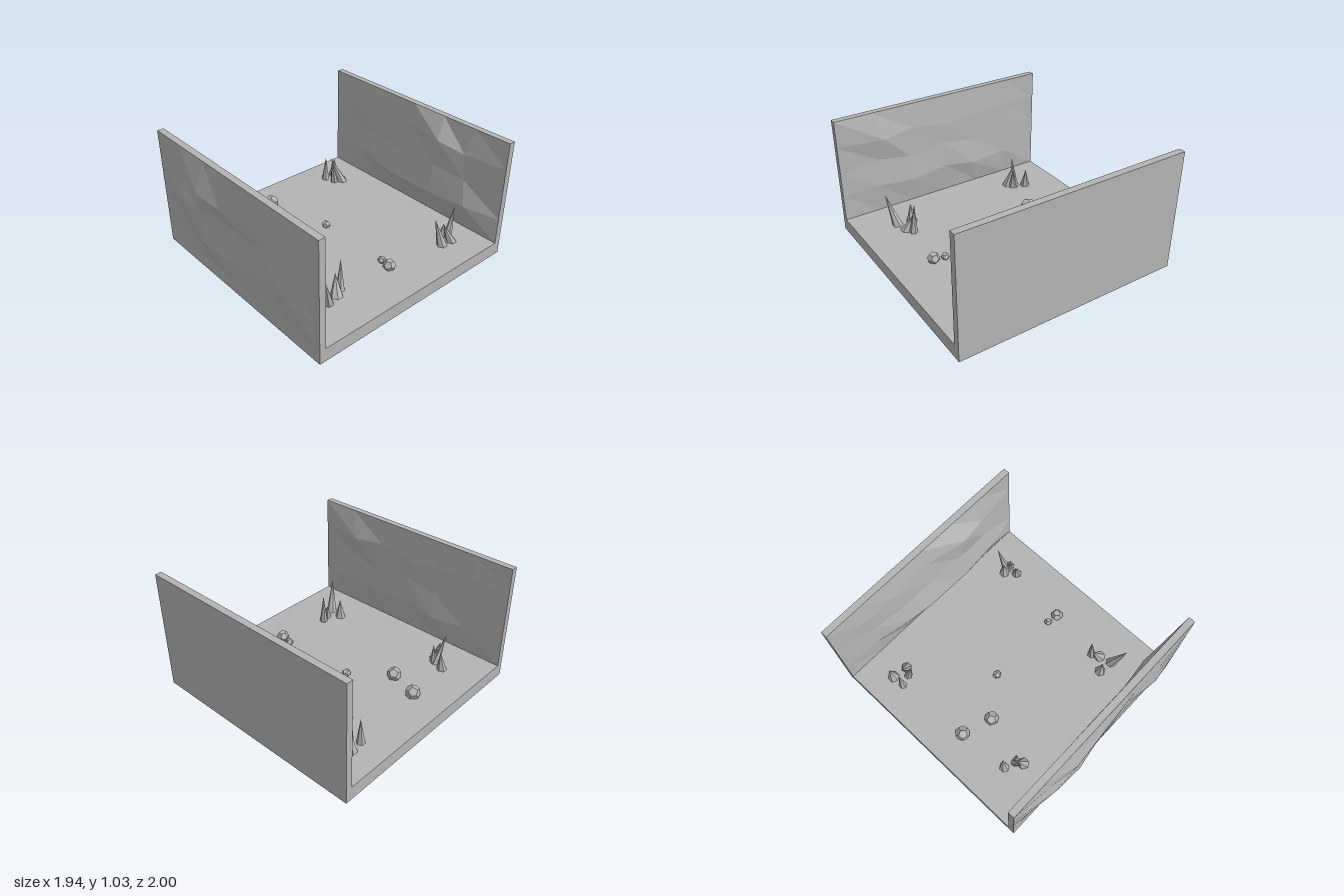
import * as THREE from 'three';

const stone = new THREE.MeshStandardMaterial({ color: 0xb4b4b4, flatShading: true });
stone.name = 'grey stone';

const HALF = 0.97, FLOOR = 0.115, TOP = 1.03;
const COLS = 6, ROWS = 4;

function add(parent, name, geometry, x = 0, y = 0, z = 0) {
  const mesh = new THREE.Mesh(geometry, stone);
  mesh.name = name;
  mesh.position.set(x, y, z);
  parent.add(mesh);
  return mesh;
}

function slab(parent, name, y0, y1, z0, z1) {
  add(parent, name, new THREE.BoxGeometry(2 * HALF, y1 - y0, z1 - z0), 0, (y0 + y1) / 2, (z0 + z1) / 2);
}

// Faceted rock face towards +z: the border is pinned flat, each inner point is [x, y, depth]
function rockFace(inner) {
  const points = [], index = [];
  for (let r = 0; r <= ROWS; r++) {
    for (let c = 0; c <= COLS; c++) {
      const border = r === 0 || r === ROWS || c === 0 || c === COLS;
      if (border) points.push(-HALF + (2 * HALF * c) / COLS, TOP - ((TOP - FLOOR) * r) / ROWS, 0);
      else points.push(...inner[r - 1][c - 1]);
    }
  }
  for (let r = 0; r < ROWS; r++) {
    for (let c = 0; c < COLS; c++) {
      const a = r * (COLS + 1) + c, b = a + 1, d = a + COLS + 1, e = d + 1;
      index.push(a, d, e, a, e, b);
    }
  }
  const g = new THREE.BufferGeometry();
  g.setAttribute('position', new THREE.Float32BufferAttribute(points, 3));
  g.setIndex(index);
  const flat = g.toNonIndexed();
  flat.computeVertexNormals();
  return flat;
}

// Six-sided spike on the floor, sheared so that its tip lies over (tx, tz)
function spike(parent, x, z, r, tx, tz, tipY) {
  const h = tipY - FLOOR;
  const g = new THREE.ConeGeometry(r, h, 6).translate(0, h / 2, 0);
  const p = g.attributes.position;
  for (let i = 0; i < p.count; i++) {
    const t = p.getY(i) / h;
    p.setX(i, p.getX(i) + t * (tx - x));
    p.setZ(i, p.getZ(i) + t * (tz - z));
  }
  g.computeVertexNormals();
  add(parent, 'spike', g, x, FLOOR, z);
}

export function createModel() {
  const model = new THREE.Group();
  model.name = 'caveCorridor';

  // Floor and two side walls
  slab(model, 'floor', 0, FLOOR, -1, 0.935);
  slab(model, 'frontWall', FLOOR, TOP, 0.88, 0.935);
  slab(model, 'backWall', FLOOR, TOP, -1, -0.945);

  // Rocky reliefs on the walls
  add(model, 'frontWallOuterRock', rockFace([
    [[-0.63, 0.80, 0.02], [-0.36, 0.76, 0.063], [-0.09, 0.74, 0.04], [0.33, 0.79, 0.008], [0.63, 0.81, 0.015]],
    [[-0.57, 0.59, 0.06], [-0.38, 0.61, 0.055], [-0.07, 0.62, 0.008], [0.31, 0.61, 0.004], [0.65, 0.58, 0.02]],
    [[-0.61, 0.36, 0.015], [-0.28, 0.32, 0.058], [0.0, 0.32, 0.015], [0.40, 0.41, 0.008], [0.67, 0.36, 0.036]],
  ]), 0, 0, 0.935);

  const inner = add(model, 'frontWallInnerRock', rockFace([
    [[-0.57, 0.79, 0.05], [-0.30, 0.82, 0.02], [0.02, 0.77, 0.025], [0.33, 0.80, 0.02], [0.64, 0.82, 0.015]],
    [[-0.62, 0.60, 0.012], [-0.34, 0.56, 0.02], [-0.02, 0.60, 0.02], [0.30, 0.55, 0.025], [0.66, 0.59, 0.02]],
    [[-0.66, 0.36, 0.02], [-0.33, 0.33, 0.035], [0.0, 0.37, 0.03], [0.28, 0.33, 0.05], [0.62, 0.35, 0.025]],
  ]), 0, 0, 0.88);
  inner.rotation.y = Math.PI;

  add(model, 'backWallInnerRock', rockFace([
    [[-0.64, 0.80, 0.02], [-0.36, 0.82, 0.035], [0.0, 0.85, 0.03], [0.36, 0.85, 0.098], [0.60, 0.80, 0.045]],
    [[-0.62, 0.59, 0.015], [-0.32, 0.57, 0.04], [-0.02, 0.60, 0.05], [0.30, 0.60, 0.07], [0.62, 0.58, 0.05]],
    [[-0.64, 0.36, 0.02], [-0.33, 0.35, 0.075], [-0.10, 0.34, 0.1], [0.32, 0.35, 0.109], [0.67, 0.36, 0.085]],
  ]), 0, 0, -0.945);

  // Loose rocks: x, z, radius
  const rocks = new THREE.Group();
  rocks.name = 'rocks';
  [
    [-0.12, -0.06, 0.036], [0.54, -0.07, 0.034], [0.635, -0.055, 0.052],
    [-0.685, 0.09, 0.062], [-0.43, 0.175, 0.061],
  ].forEach(([x, z, r], i) => {
    add(rocks, 'rock', new THREE.DodecahedronGeometry(r), x, FLOOR + r * 0.62, z).rotation.set(i * 0.7, i * 1.3, 0.2);
  });
  model.add(rocks);

  // Spike clusters in the corners: base x, base z, radius, tip x, tip z, tip height
  const clusters = {
    backRightSpikes: [
      [-0.735, -0.69, 0.05, -0.74, -0.70, 0.28], [-0.73, -0.58, 0.035, -0.73, -0.585, 0.34],
      [-0.60, -0.675, 0.045, -0.68, -0.60, 0.35], [-0.64, -0.61, 0.035, -0.61, -0.555, 0.37],
    ],
    backLeftSpikes: [
      [0.63, -0.685, 0.045, 0.63, -0.69, 0.25], [0.71, -0.70, 0.045, 0.665, -0.64, 0.28],
      [0.67, -0.69, 0.04, 0.65, -0.78, 0.39], [0.70, -0.60, 0.045, 0.64, -0.56, 0.35],
    ],
    frontRightSpikes: [
      [-0.65, 0.53, 0.042, -0.64, 0.505, 0.29], [-0.56, 0.565, 0.035, -0.585, 0.65, 0.36],
      [-0.52, 0.62, 0.05, -0.57, 0.60, 0.31], [-0.54, 0.57, 0.035, -0.535, 0.555, 0.29],
    ],
    frontLeftSpikes: [
      [0.51, 0.555, 0.046, 0.515, 0.555, 0.29], [0.61, 0.465, 0.05, 0.545, 0.425, 0.27],
      [0.575, 0.40, 0.035, 0.56, 0.385, 0.385], [0.635, 0.57, 0.045, 0.695, 0.65, 0.39],
    ],
  };
  for (const [name, spikes] of Object.entries(clusters)) {
    const group = new THREE.Group();
    group.name = name;
    spikes.forEach((s) => spike(group, ...s));
    model.add(group);
  }
  return model;
}
